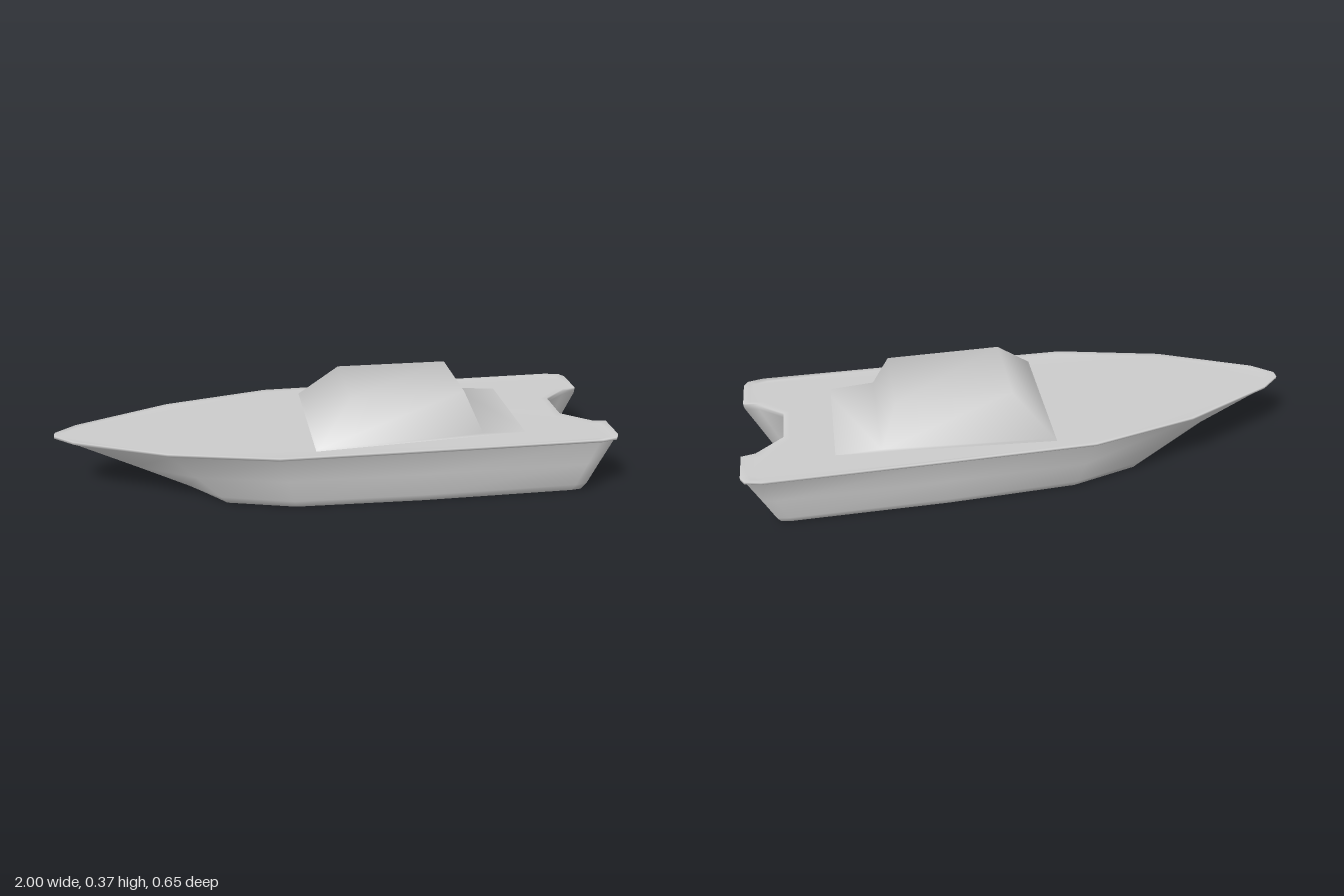
import * as THREE from 'three';

const lerp = THREE.MathUtils.lerp;

// half plan outlines [x, z], bow to stern, ending inside the stern notch
const gunwale = [[-1, .015], [-.93, .075], [-.6, .225], [-.22, .315], [.3, .321], [.93, .325],
  [.985, .312], [1, .285], [1, .165], [.95, .155], [.855, .075]];
const floor = [[-.5, .03], [-.48, .1], [-.4, .2], [-.16, .27], [.3, .288], [.85, .288],
  [.89, .282], [.9, .26], [.9, .15], [.86, .135], [.77, .07]];

// mirrors a half outline across z = 0 into a closed ring at height y
function ring(half, y) {
  const other = half.map(([x, z]) => [x, -z]).reverse();
  return [...half, ...other].map(([x, z]) => [x, y, z]);
}

// skins a stack of rings, bottom to top, with shared vertices for smooth shading
function loft(name, rings, closeBottom) {
  const n = rings[0].length, index = [];
  for (let k = 0; k < rings.length - 1; k++) {
    for (let i = 0; i < n; i++) {
      const a = k * n + i, b = k * n + (i + 1) % n;
      index.push(a, b, b + n, a, b + n, a + n);
    }
  }
  const cap = (k, up) => {
    const flat = rings[k].map(([x, , z]) => new THREE.Vector2(x, -z));
    for (const [a, b, c] of THREE.ShapeUtils.triangulateShape(flat, [])) {
      if (up) index.push(k * n + a, k * n + b, k * n + c);
      else index.push(k * n + a, k * n + c, k * n + b);
    }
  };
  cap(rings.length - 1, true);
  if (closeBottom) cap(0, false);
  const geo = new THREE.BufferGeometry();
  geo.setAttribute('position', new THREE.Float32BufferAttribute(rings.flat(2), 3));
  geo.setIndex(index);
  geo.computeVertexNormals();
  const mesh = new THREE.Mesh(geo, new THREE.MeshStandardMaterial({ color: 0xcccccc, side: THREE.DoubleSide }));
  mesh.name = name;
  return mesh;
}

export function createModel() {
  const group = new THREE.Group();
  group.name = 'speedboat';

  // hull: flat floor, rounded chine, flared sides, projecting gunwale lip, deck
  const sideTop = gunwale.map(([x, z], i) => [lerp(floor[i][0], x, .95), z * .945]);
  const blend = (t) => floor.map(([x, z], i) => [lerp(x, sideTop[i][0], t), lerp(z, sideTop[i][1], t)]);
  const keel = floor.map(([x, z], i) => [x, i < 8 ? z * .94 : z]);
  const deckEdge = gunwale.map(([x, z], i) => [x * .975, i < 8 ? z * .95 : z + .012]);
  group.add(loft('hull', [
    ring(keel, .004),
    ring(blend(.12), .035),
    ring(blend(.55), .12),
    ring(sideTop, .207),
    ring(gunwale, .217),
    ring(gunwale, .226),
    ring(deckEdge, .222),
  ], true));

  // cabin: sloping frustum whose rear fairing runs out onto the aft deck
  group.add(loft('cabin', [
    ring([[-.09, .268], [.7, .21]], .221),
    ring([[-.08, .262], [.52, .215]], .23),
    ring([[.05, .157], [.46, .152]], .37),
  ], false));

  return group;
}
